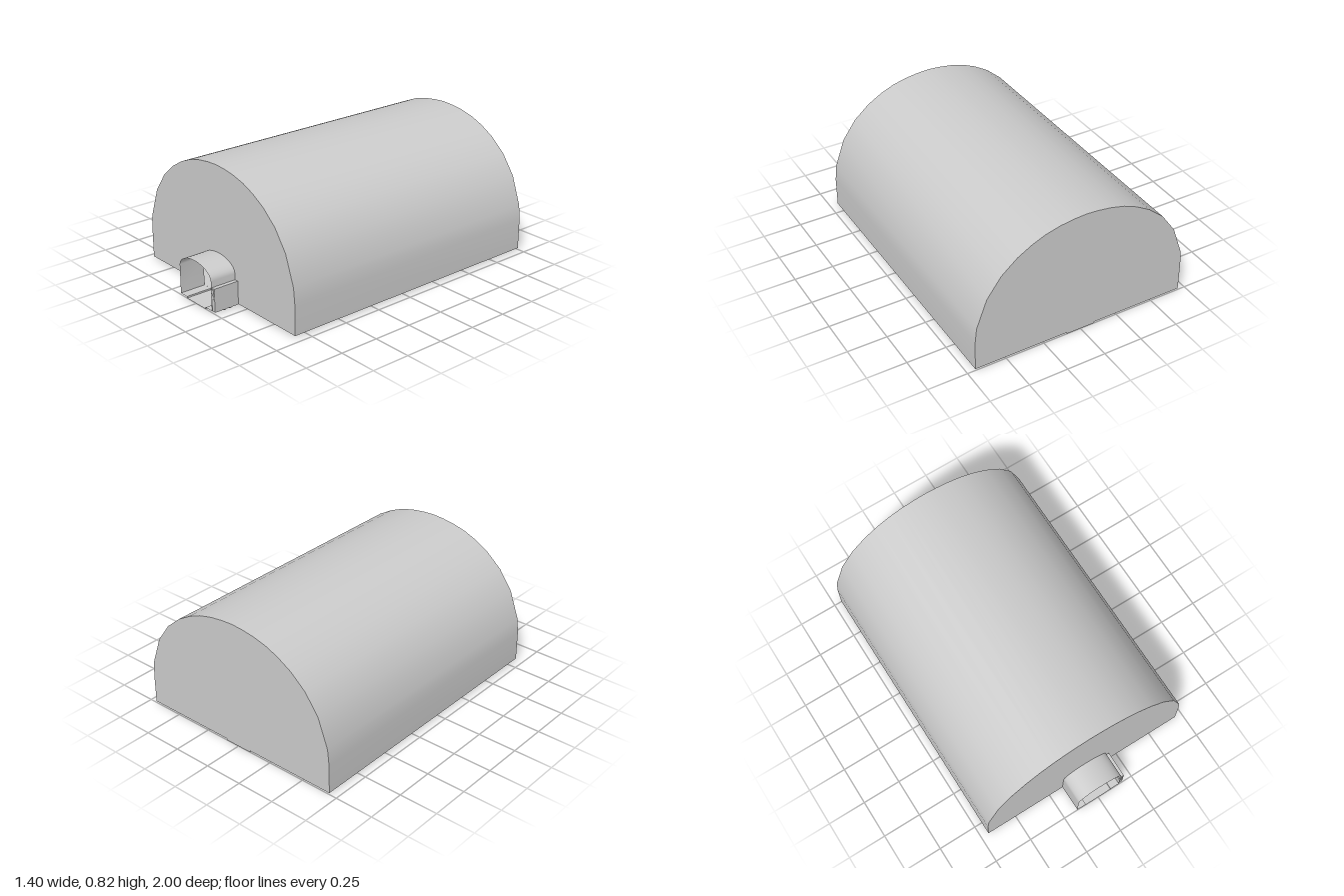
import * as THREE from 'three';
import { toCreasedNormals } from 'three/addons/utils/BufferGeometryUtils.js';

const Z_BACK = -1, Z_FACE = 0.83, Z_FRONT = 1, FLOOR = 0.01;

const material = new THREE.MeshStandardMaterial({ color: 0xcccccc, side: THREE.DoubleSide });

function addMesh(parent, name, geometry, x = 0, y = 0, z = 0) {
  const mesh = new THREE.Mesh(geometry, material);
  mesh.name = name;
  mesh.position.set(x, y, z);
  parent.add(mesh);
  return mesh;
}

// Thin wall following a closed outline (counter-clockwise from the front) between two depths
function sweep(outline, z0, z1) {
  const pos = [];
  outline.forEach((a, i) => {
    const b = outline[(i + 1) % outline.length];
    pos.push(a.x, a.y, z0, b.x, b.y, z0, b.x, b.y, z1);
    pos.push(a.x, a.y, z0, b.x, b.y, z1, a.x, a.y, z1);
  });
  const g = new THREE.BufferGeometry();
  g.setAttribute('position', new THREE.Float32BufferAttribute(pos, 3));
  g.computeVertexNormals();
  return toCreasedNormals(g, 0.6);
}

// Mirror a right-hand half (floor centre up to the crown) into a closed outline
function mirrorOutline(half) {
  const right = half.map(([x, y]) => new THREE.Vector2(x, y));
  const left = right.filter(p => p.x > 0).reverse().map(p => new THREE.Vector2(-p.x, p.y));
  return [...right, ...left];
}

export function createModel() {
  const model = new THREE.Group();
  model.name = 'tunnelModel';

  // Shallow invert step shared by the ground block and the tunnel
  const invert = [[0.093, 0], [0.093, FLOOR]];

  // Ground block: hollow arched body
  const blockOutline = mirrorOutline([
    ...invert, [0.7, FLOOR], [0.7, 0.2], [0.69, 0.3], [0.625, 0.48], [0.535, 0.605],
    [0.435, 0.69], [0.34, 0.745], [0.255, 0.78], [0.165, 0.803], [0.08, 0.815], [0, 0.82],
  ]);
  const block = new THREE.Group();
  block.name = 'groundBlock';
  model.add(block);
  addMesh(block, 'groundShell', sweep(blockOutline, Z_BACK, Z_FACE));

  // Tunnel lining: straight walls under a flat elliptical vault
  const tunnelHalf = [...invert, [0.155, FLOOR]];
  for (let i = 0; i <= 10; i++) {
    const t = (i / 10) * Math.PI / 2;
    tunnelHalf.push([i === 10 ? 0 : 0.155 * Math.cos(t), 0.195 + 0.078 * Math.sin(t)]);
  }
  const tunnelOutline = mirrorOutline(tunnelHalf);
  addMesh(model, 'tunnelLining', sweep(tunnelOutline, Z_FACE, Z_FRONT));

  // End faces: the front one is pierced by the tunnel, the back one is closed
  const frontShape = new THREE.Shape(blockOutline);
  const opening = tunnelOutline.filter(p => p.y > 0)
    .map(p => new THREE.Vector2(p.x, Math.max(p.y, FLOOR + 0.0005)));
  frontShape.holes.push(new THREE.Path(opening));
  addMesh(block, 'frontFace', new THREE.ShapeGeometry(frontShape), 0, 0, Z_FACE);
  const back = addMesh(block, 'backFace', new THREE.ShapeGeometry(new THREE.Shape(blockOutline)), 0, 0, Z_BACK);
  back.rotation.y = Math.PI;

  // Service duct along the left wall, with two pipes and small drain feet
  const duct = new THREE.Group();
  duct.name = 'serviceDuct';
  model.add(duct);
  const depth = Z_FRONT - Z_FACE;
  const midZ = (Z_FRONT + Z_FACE) / 2;
  addMesh(duct, 'ductBody', new THREE.BoxGeometry(0.026, 0.148, depth - 0.004), 0.168, 0.082, midZ - 0.002);
  for (const y of [0.135, 0.098]) {
    const pipe = addMesh(duct, 'pipe', new THREE.CylinderGeometry(0.014, 0.014, depth, 16), 0.166, y, midZ);
    pipe.rotation.x = Math.PI / 2;
  }
  for (const z of [0.88, 0.92]) {
    addMesh(duct, 'drainFoot', new THREE.CylinderGeometry(0.01, 0.01, 0.012, 12), 0.166, 0.006, z);
  }

  return model;
}
